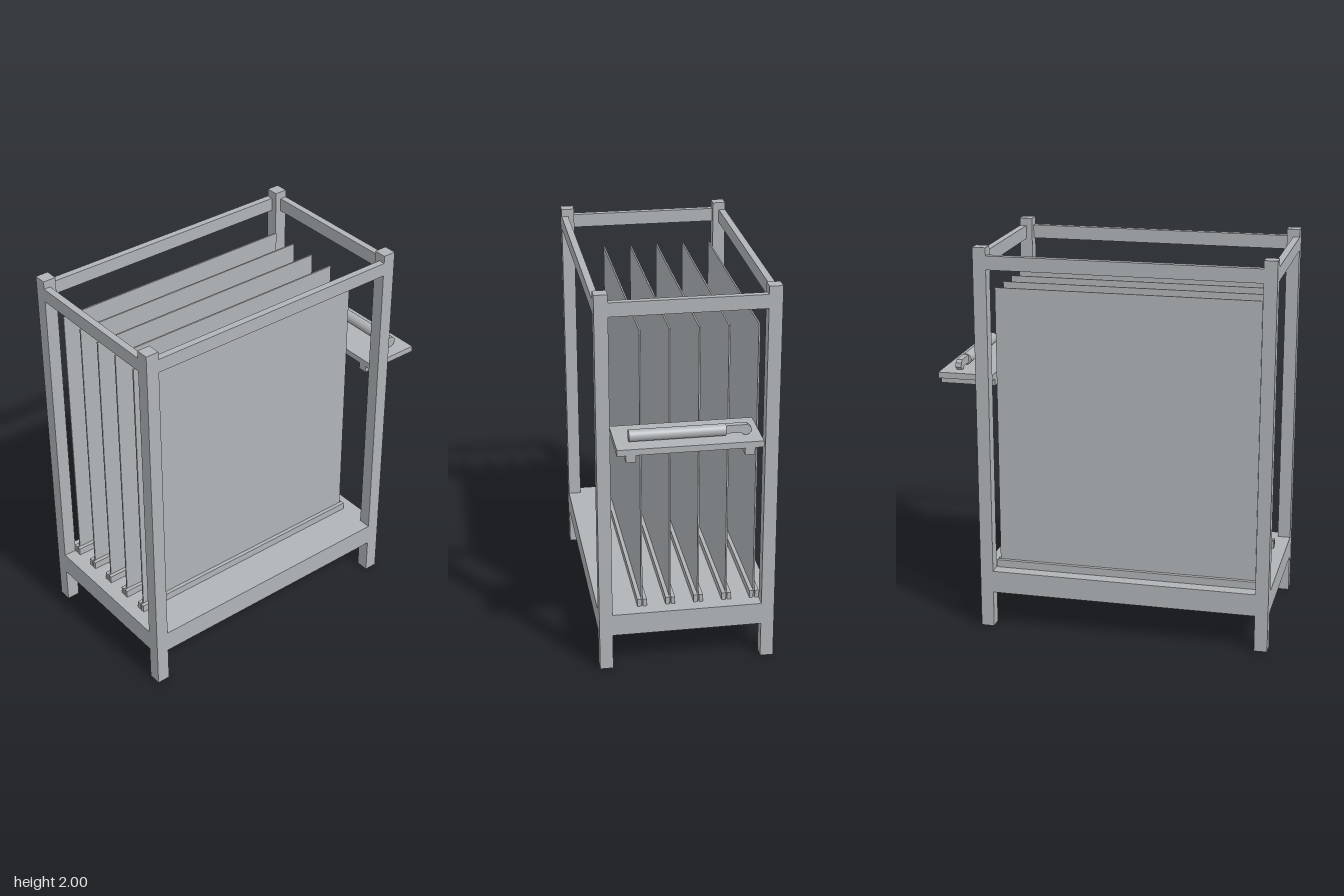
import * as THREE from 'three';

const X0 = -0.87, X1 = 0.63, Z = 0.448, POST = 0.067, RAIL = 0.035;

export function createModel() {
  const model = new THREE.Group();
  const grey = new THREE.MeshStandardMaterial({ color: 0xb0b4b7 });
  grey.name = 'steel grey';

  const add = (name, geometry, parent = model) => {
    const mesh = new THREE.Mesh(geometry, grey);
    mesh.name = name;
    parent.add(mesh);
    return mesh;
  };
  // Box given by its limits on each axis
  const box = (name, x0, x1, y0, y1, z0, z1, parent) =>
    add(name, new THREE.BoxGeometry(x1 - x0, y1 - y0, z1 - z0), parent)
      .position.set((x0 + x1) / 2, (y0 + y1) / 2, (z0 + z1) / 2);

  // Corner posts
  for (const x of [X0, X1 - POST])
    for (const z of [-Z, Z - POST]) box('cornerPost', x, x + POST, 0, 2, z, z + POST);

  // Upper and lower rails, flush with the outside of the posts
  for (const [name, y0, y1] of [['lowerRail', 0.19, 0.26], ['upperRail', 1.89, 1.96]]) {
    for (const z of [-Z, Z - RAIL]) box(name, X0 + POST, X1 - POST, y0, y1, z, z + RAIL);
    for (const x of [X0, X1 - RAIL]) box(name, x, x + RAIL, y0, y1, -Z + POST, Z - POST);
  }

  // Floor board, notched around the four posts
  const a = X0 + POST, b = X1 - POST, c = Z - POST;
  const outline = [[a, -Z], [b, -Z], [b, -c], [X1, -c], [X1, c], [b, c],
    [b, Z], [a, Z], [a, c], [X0, c], [X0, -c], [a, -c]];
  const floor = new THREE.ExtrudeGeometry(
    new THREE.Shape(outline.map(([x, y]) => new THREE.Vector2(x, y))),
    { depth: 0.046, bevelEnabled: false });
  floor.rotateX(-Math.PI / 2);
  add('floorBoard', floor).position.y = 0.26;

  // Upright panels, each held between two strips
  for (let i = 0; i < 5; i++) {
    const z = 0.221 - i * 0.1445;
    const slot = new THREE.Group();
    slot.name = 'panelSlot';
    slot.position.z = z;
    model.add(slot);
    box('panel', -0.79, 0.546, 0.306, 1.785, -0.004, 0.004, slot);
    for (const s of [-0.024, 0.004]) box('panelStrip', -0.805, 0.56, 0.306, 0.345, s, s + 0.02, slot);
  }

  // Side shelf on two cleats
  box('sideShelf', 0.583, 0.87, 1.289, 1.32, -0.32, 0.379);
  for (const z of [0.313, -0.253]) box('shelfCleat', 0.583, 0.87, 1.254, 1.289, z - 0.024, z + 0.024);

  // Round tool lying on the shelf, with a bent handle
  const tool = new THREE.Group();
  tool.name = 'tool';
  tool.position.set(0.776, 1.35, 0);
  model.add(tool);
  const barrel = new THREE.CylinderGeometry(0.029, 0.029, 0.464, 32);
  barrel.rotateX(Math.PI / 2);
  add('toolBarrel', barrel, tool).position.z = 0.08;
  const profile = [[0.15, -0.015], [0.225, -0.015], [0.238, -0.026], [0.255, -0.028],
    [0.278, -0.01], [0.272, 0.012], [0.255, 0.025], [0.15, 0.025]];
  const handle = new THREE.ExtrudeGeometry(
    new THREE.Shape(profile.map(([x, y]) => new THREE.Vector2(x, y))),
    { depth: 0.03, bevelEnabled: false });
  handle.rotateY(Math.PI / 2);
  add('toolHandle', handle, tool).position.x = -0.015;

  return model;
}
